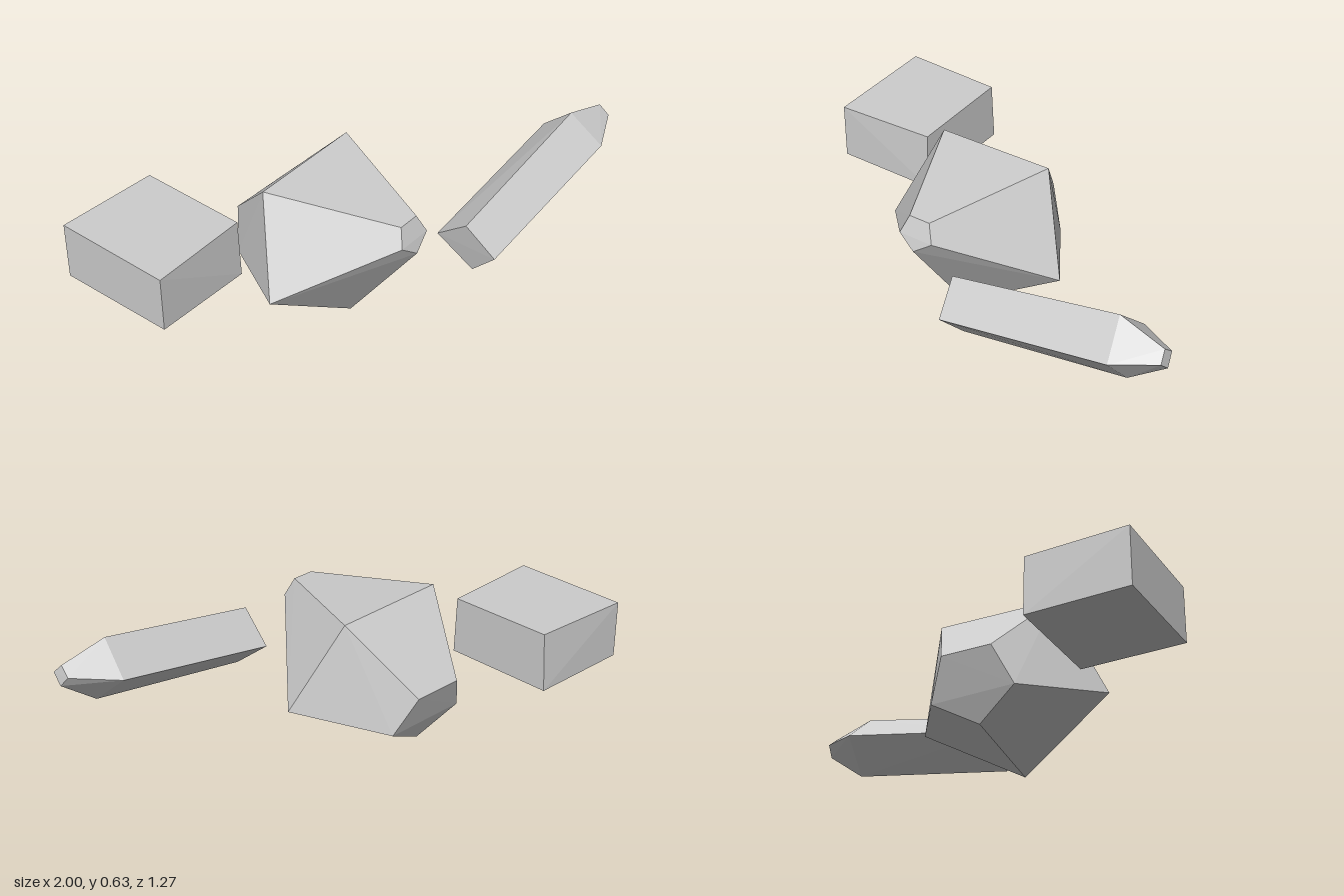
import * as THREE from 'three';
import { ConvexGeometry } from 'three/addons/geometries/ConvexGeometry.js';

const stone = new THREE.MeshStandardMaterial({ color: 0xcccccc });
stone.name = 'pale grey';

// Faceted solid spanned by its corner points
function facetedSolid(name, corners) {
  const points = corners.map(([x, y, z]) => new THREE.Vector3(x, y, z));
  const mesh = new THREE.Mesh(new ConvexGeometry(points), stone);
  mesh.name = name;
  return mesh;
}

export function createModel() {
  const model = new THREE.Group();
  model.name = 'faceted stones';

  // Slightly tapered block at the back right
  model.add(facetedSolid('block', [
    [-1, 0.54, -0.125], [-1, 0.30, -0.125], [-1, 0.548, -0.638], [-1, 0.30, -0.638],
    [-0.56, 0.54, -0.14], [-0.56, 0.29, -0.13], [-0.56, 0.55, -0.61], [-0.56, 0.297, -0.625],
  ]));

  // Cut boulder: pentagonal facets front and back, a ridge on top, a point below
  model.add(facetedSolid('boulder', [
    [-0.19, 0, 0.12], // lowest point
    [-0.6, 0.255, 0.05], [0.235, 0.24, 0.045], // side points
    [-0.445, 0.635, -0.107], [0.07, 0.635, -0.113], // top ridge
    [-0.235, 0.585, 0.405], [-0.14, 0.585, 0.405], // front facet
    [-0.265, 0.51, 0.435], [-0.11, 0.51, 0.435], [-0.19, 0.455, 0.45],
    [-0.3, 0.35, -0.384], [-0.08, 0.35, -0.382], // back facet
    [-0.37, 0.19, -0.326], [0, 0.185, -0.318], [-0.19, 0.08, -0.27],
  ]));

  // Four-sided bar: butt end, shoulder and blunt tip, each top/front/bottom/back
  model.add(facetedSolid('bar', [
    [0.045, 0.475, 0.51], [0.07, 0.355, 0.635], [0.095, 0.23, 0.515], [0.065, 0.355, 0.36],
    [0.785, 0.615, 0.498], [0.82, 0.49, 0.635], [0.835, 0.35, 0.512], [0.81, 0.488, 0.357],
    [0.985, 0.56, 0.515], [0.995, 0.518, 0.556], [1, 0.475, 0.511], [0.99, 0.522, 0.47],
  ]));

  return model;
}
